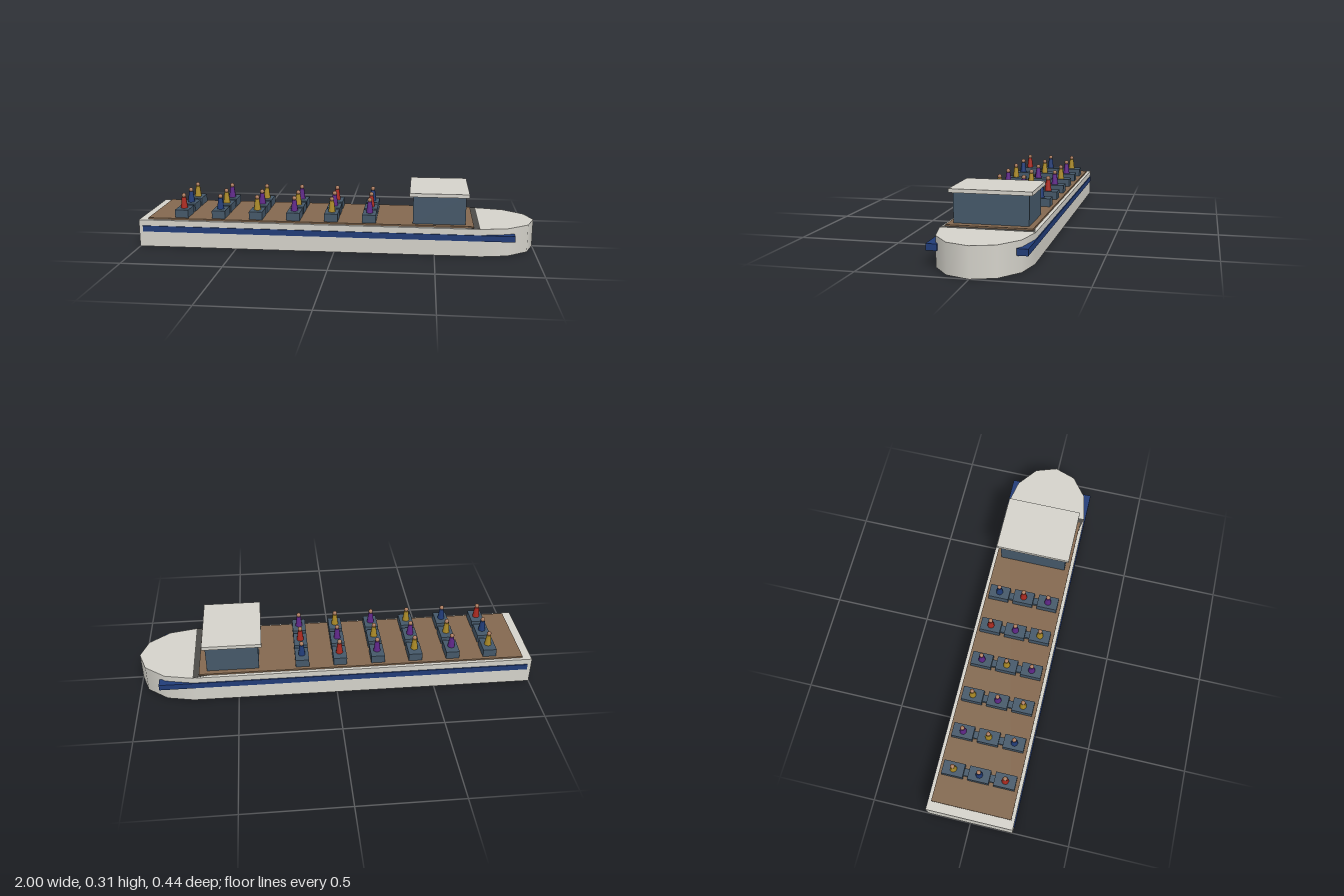
import * as THREE from 'three';

const mat = (name, color) => {
  const m = new THREE.MeshStandardMaterial({ color });
  m.name = name;
  return m;
};

export function createModel() {
  const hullPaint = mat('hull off-white', 0xd4d2ca);
  const darkGrey = mat('dark grey', 0x4c4b48);
  const wood = mat('deck brown', 0x83684f);
  const slate = mat('slate blue', 0x455869);
  const navy = mat('navy', 0x213c78);
  const red = mat('red', 0xab2a20);
  const yellow = mat('yellow', 0xab8a26);
  const purple = mat('purple', 0x5f2788);
  const skin = mat('skin', 0xa8785a);

  const boat = new THREE.Group();
  boat.name = 'riverBoat';

  const add = (parent, name, geo, material, x = 0, y = 0, z = 0) => {
    const mesh = new THREE.Mesh(geo, material);
    mesh.name = name;
    mesh.position.set(x, y, z);
    parent.add(mesh);
    return mesh;
  };

  // Box given by its extents on each axis
  const box = (parent, name, material, [x0, x1], [y0, y1], [z0, z1]) =>
    add(parent, name, new THREE.BoxGeometry(x1 - x0, y1 - y0, z1 - z0), material,
      (x0 + x1) / 2, (y0 + y1) / 2, (z0 + z1) / 2);

  // Half of an elliptical drum; start 0 faces forward (+x), PI faces aft
  const halfDrum = (height, start) =>
    new THREE.CylinderGeometry(1, 1, height, 6, 1, false, start, Math.PI)
      .scale(0.28, 1, 0.217).translate(0, height / 2, 0);

  // Hull and rounded bow
  box(boat, 'hull', hullPaint, [-1, 0.72], [0.001, 0.14], [-0.217, 0.217]);
  add(boat, 'bow', halfDrum(0.14, 0), hullPaint, 0.72);
  add(boat, 'bowCore', halfDrum(0.141, Math.PI), darkGrey, 0.72)
    .scale.set(1, 1, 0.998);

  // Rubbing strakes along both sides
  for (const s of [1, -1]) {
    box(boat, s > 0 ? 'leftStripe' : 'rightStripe', navy,
      [-0.98, 0.89], [0.08, 0.11], [s * 0.197 - 0.025, s * 0.197 + 0.025]);
  }

  // Deck and cabin
  box(boat, 'deck', wood, [-0.955, 0.69], [0.135, 0.148], [-0.2, 0.2]);
  box(boat, 'cabin', slate, [0.39, 0.65], [0.148, 0.289], [-0.174, 0.174]);
  box(boat, 'cabinRoof', hullPaint, [0.372, 0.664], [0.288, 0.306], [-0.192, 0.192]);

  // Seats with passengers: each row shifts the coat colours by one place
  const coats = [red, navy, yellow, purple, yellow, purple];
  const seatGeo = new THREE.BoxGeometry(0.068, 0.04, 0.106);
  const bodyGeo = new THREE.CylinderGeometry(0.011, 0.018, 0.056, 10);
  const headGeo = new THREE.SphereGeometry(0.0115, 10, 8);

  for (let col = 0; col < 6; col++) {
    const x = -0.785 + col * 0.1915;
    box(boat, 'benchBeam', slate, [x - 0.018, x + 0.018], [0.148, 0.166], [-0.17, 0.17]);
    for (let row = 0; row < 3; row++) {
      const place = new THREE.Group();
      place.name = 'passengerSeat';
      place.position.set(x, 0.148, 0.13 * (1 - row));
      add(place, 'seat', seatGeo, slate, 0, 0.02);
      add(place, 'body', bodyGeo, coats[(col + row) % 6], 0, 0.068);
      add(place, 'head', headGeo, skin, 0, 0.105);
      boat.add(place);
    }
  }
  return boat;
}
